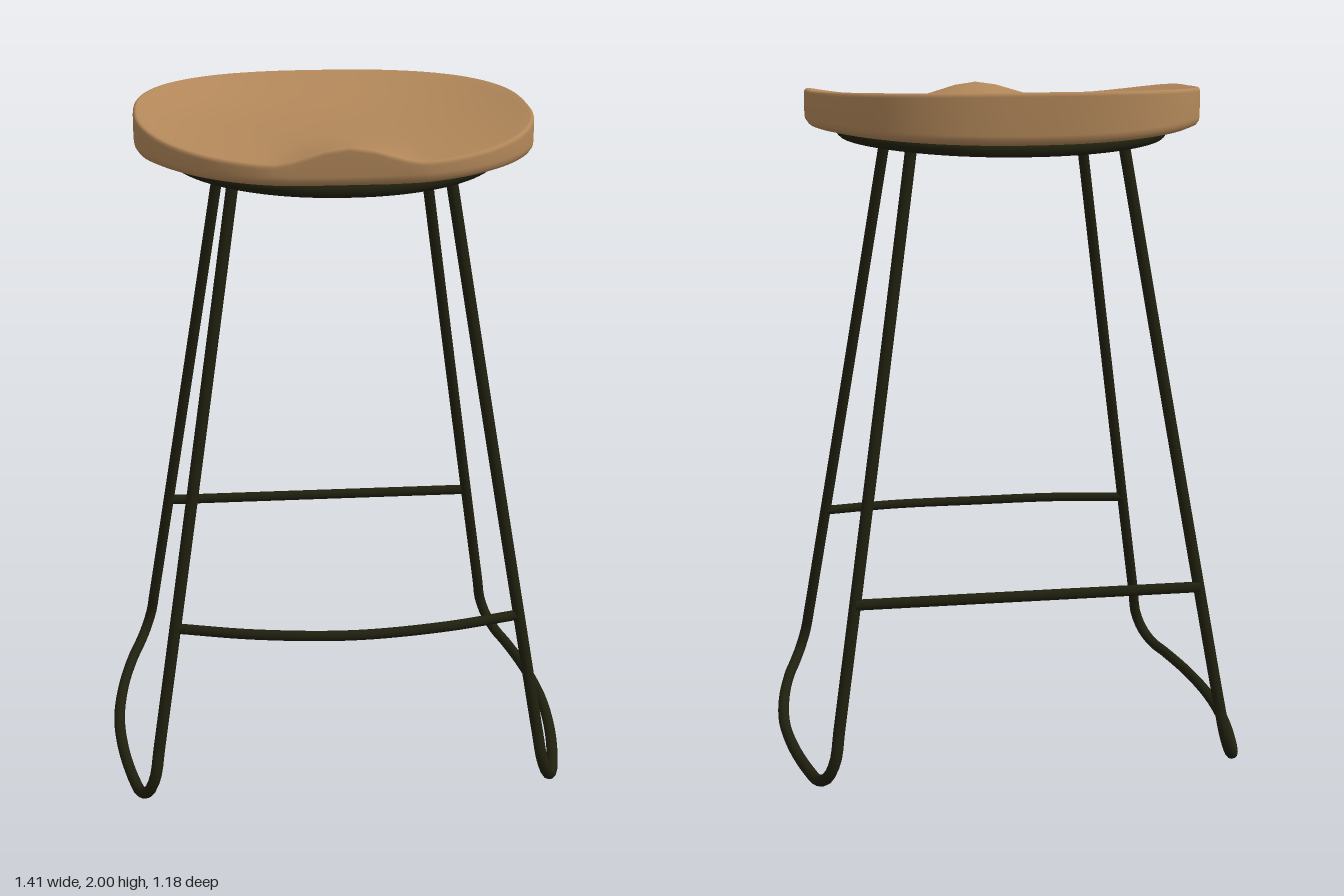
import * as THREE from 'three';

const SEGMENTS = 96;

// Point on a rounded-square outline (superellipse)
function outline(angle, halfX, halfZ, power) {
  const c = Math.cos(angle), s = Math.sin(angle);
  return [
    halfX * Math.sign(c) * Math.abs(c) ** (2 / power),
    halfZ * Math.sign(s) * Math.abs(s) ** (2 / power),
  ];
}

// Closed skin from rings ordered bottom to top; point(ring, angle) gives [x, y, z]
function loft(rings, point) {
  const positions = [], index = [];
  rings.forEach((ring, i) => {
    for (let j = 0; j < SEGMENTS; j++) {
      positions.push(...point(ring, (j / SEGMENTS) * Math.PI * 2));
      if (i === rings.length - 1) continue;
      const a = i * SEGMENTS + j;
      const b = i * SEGMENTS + ((j + 1) % SEGMENTS);
      index.push(a, a + SEGMENTS, b, b, a + SEGMENTS, b + SEGMENTS);
    }
  });
  const geometry = new THREE.BufferGeometry();
  geometry.setAttribute('position', new THREE.Float32BufferAttribute(positions, 3));
  geometry.setIndex(index);
  geometry.computeVertexNormals();
  return geometry;
}

// Underside rises gently towards the left and right
const underside = (x) => 0.02 * (x / 0.49) ** 2;

// Rim is high at the back, sinks to the front
const rimHeight = (z) => (z < 0 ? 1.98 - 0.04 * z : 1.98 - 0.06 * (z / 0.49) ** 2);

// Soft pommel in the middle of the front edge
function pommel(x, z) {
  if (z <= 0 || Math.abs(x) > 0.22) return 0;
  return 0.045 * (0.5 + 0.5 * Math.cos((Math.PI * x) / 0.22));
}

function seatGeometry() {
  const rings = [
    { r: 0, bottom: 0 }, { r: 0.5, bottom: 0 }, { r: 0.9, bottom: 0 }, { r: 0.955, bottom: 0.002 },
    { r: 0.985, bottom: 0.008 }, { r: 0.997, bottom: 0.018 }, { r: 1, bottom: 0.03 },
    { r: 1, drop: 0.012 }, { r: 0.997, drop: 0.005 }, { r: 0.99, drop: 0.001 }, { r: 0.98, drop: 0 },
  ];
  for (let i = 1; i <= 20; i++) rings.push({ r: 0.98 * (1 - i / 20), drop: 0 });
  return loft(rings, ({ r, bottom, drop }, angle) => {
    let [rx, rz] = outline(angle, 0.58, 0.508, 2.55);
    rz = Math.min(rz, 0.492);
    const x = rx * r, z = rz * r;
    if (bottom !== undefined) return [x, 1.852 + Math.min(underside(x), 0.022) + bottom, z];
    const t = Math.min(r / 0.98, 1);
    const y = 1.92 + (rimHeight(rz) - 1.92) * t ** 3 + pommel(x, z) * t ** 2 - drop;
    return [x, y, z];
  });
}

// Mounting plate with a rounded raised border
function plateGeometry() {
  const rings = [
    [0, 1.838], [0.5, 1.838], [0.925, 1.838], [0.935, 1.828], [0.95, 1.822], [0.975, 1.821],
    [0.99, 1.827], [1, 1.838], [0.995, 1.85], [0.97, 1.858], [0.5, 1.858], [0, 1.858],
  ];
  return loft(rings, ([r, y], angle) => {
    const [x, z] = outline(angle, 0.49, 0.487, 2.2);
    return [x * r, y + underside(x * r), z * r];
  });
}

// Round bar along a smooth path
function bar(name, points, material, steps, radius = 0.017) {
  const curve = new THREE.CatmullRomCurve3(points.map((p) => new THREE.Vector3(...p)), false, 'centripetal');
  const group = new THREE.Group();
  group.name = name;
  group.add(new THREE.Mesh(new THREE.TubeGeometry(curve, steps, radius, 12), material));
  return group;
}

export function createModel() {
  const model = new THREE.Group();
  model.name = 'barStool';
  const wood = new THREE.MeshStandardMaterial({ color: 0xb3885a });
  wood.name = 'warm wood';
  const metal = new THREE.MeshStandardMaterial({ color: 0x20200f });
  metal.name = 'dark metal';

  const seat = new THREE.Mesh(seatGeometry(), wood);
  seat.name = 'seat';
  const plate = new THREE.Mesh(plateGeometry(), metal);
  plate.name = 'mountingPlate';
  model.add(seat, plate);

  // Each side frame: front leg, bowed floor runner and back leg in one bent bar
  const half = [
    [0.305, 1.85, 0.305], [0.405, 1.2, 0.402], [0.505, 0.56, 0.5], [0.562, 0.2, 0.555],
    [0.575, 0.12, 0.572], [0.596, 0.062, 0.555], [0.62, 0.03, 0.5],
    [0.64, 0.025, 0.42], [0.672, 0.021, 0.22],
  ];
  for (const [name, side] of [['leftLegFrame', 1], ['rightLegFrame', -1]]) {
    const front = half.map(([x, y, z]) => [x * side, y, z]);
    const back = front.map(([x, y, z]) => [x, y, -z]).reverse();
    model.add(bar(name, [...front, [0.686 * side, 0.018, 0], ...back], metal, 180));
  }

  // Bowed footrest in front, straight brace behind
  model.add(bar('frontFootrest', [
    [-0.505, 0.56, 0.497], [-0.27, 0.555, 0.55], [0, 0.55, 0.57], [0.27, 0.555, 0.55], [0.505, 0.56, 0.497],
  ], metal, 32, 0.015));
  model.add(bar('backBrace', [[-0.505, 0.56, -0.508], [0.505, 0.56, -0.508]], metal, 1, 0.016));
  return model;
}
